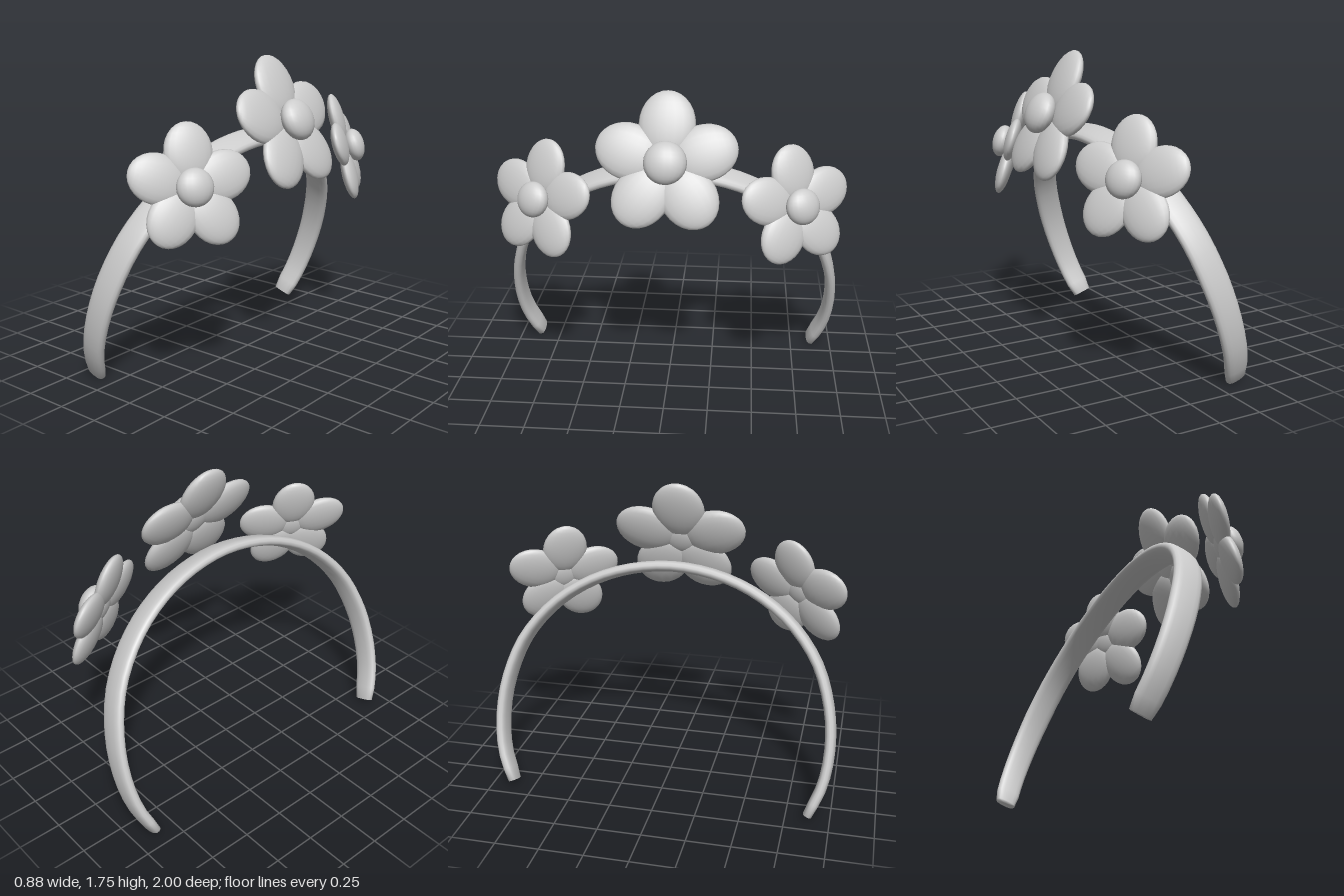
import * as THREE from 'three';

const grey = new THREE.MeshStandardMaterial({ color: 0xcccccc });
grey.name = 'light grey';

// Flat, rounded strip swept along a leaning arch
function bandGeometry() {
  const half = [[0.875, 0.03], [0.945, 0.2], [0.97, 0.4], [0.945, 0.62], [0.85, 0.86], [0.65, 1.08], [0.36, 1.235]];
  const profile = [...half, [0, 1.295], ...half.map(([z, y]) => [-z, y]).reverse()];
  const curve = new THREE.CatmullRomCurve3(
    profile.map(([z, y]) => new THREE.Vector3(-0.385 + 0.35 * (y - 0.03), y, z)));
  const wide = new THREE.Vector3(0.944, -0.33, 0);
  const sides = 16, steps = 48, pos = [], index = [];
  const soft = (v) => Math.sign(v) * Math.abs(v) ** 0.75;
  for (let i = 0; i <= steps; i++) {
    const t = i / steps;
    const p = curve.getPointAt(t), thin = curve.getTangentAt(t).cross(wide).normalize();
    const end = Math.min(t, 1 - t);
    const trim = end === 0 ? 0.86 : 1;
    const w = (0.07 + 0.012 * Math.min(1, end * 6)) * trim, h = 0.031 * trim;
    for (let j = 0; j < sides; j++) {
      const a = (j / sides) * Math.PI * 2;
      const q = p.clone().addScaledVector(wide, w * soft(Math.cos(a))).addScaledVector(thin, h * soft(Math.sin(a)));
      pos.push(q.x, q.y, q.z);
    }
  }
  for (let i = 0; i < steps; i++) {
    for (let j = 0; j < sides; j++) {
      const k = (j + 1) % sides;
      const a = i * sides + j, b = i * sides + k, c = a + sides, d = b + sides;
      index.push(a, b, c, b, d, c);
    }
  }
  // End caps
  for (const last of [false, true]) {
    const p = curve.getPointAt(last ? 1 : 0), centre = pos.length / 3, base = last ? steps * sides : 0;
    pos.push(p.x, p.y, p.z);
    for (let j = 0; j < sides; j++) {
      const a = base + j, b = base + ((j + 1) % sides);
      index.push(centre, ...(last ? [a, b] : [b, a]));
    }
  }
  const g = new THREE.BufferGeometry();
  g.setAttribute('position', new THREE.Float32BufferAttribute(pos, 3));
  g.setIndex(index);
  g.computeVertexNormals();
  return g;
}

const ball = new THREE.SphereGeometry(1, 20, 14);

function ellipsoid(name, sx, sy, sz) {
  const m = new THREE.Mesh(ball, grey);
  m.name = name;
  m.scale.set(sx, sy, sz);
  return m;
}

// Five-petal flower, built facing local +z with one petal up
function flower(name, centre, up, normal, scale) {
  const g = new THREE.Group();
  g.name = name;
  for (let i = 0; i < 5; i++) {
    const a = (i / 5) * Math.PI * 2;
    const petal = ellipsoid('petal', 0.155, 0.185, 0.052);
    petal.position.set(-Math.sin(a) * 0.215, Math.cos(a) * 0.215, 0);
    petal.rotation.z = a;
    g.add(petal);
  }
  const button = ellipsoid('flowerCentre', 0.117, 0.117, 0.07);
  button.position.z = 0.075;
  const hub = ellipsoid('flowerHub', 0.1, 0.1, 0.035);
  g.add(button, hub);

  const n = new THREE.Vector3(...normal).normalize();
  const side = new THREE.Vector3(...up).cross(n).normalize();
  const u = n.clone().cross(side);
  g.quaternion.setFromRotationMatrix(new THREE.Matrix4().makeBasis(side, u, n));
  g.position.set(...centre);
  g.scale.setScalar(scale);
  return g;
}

export function createModel() {
  const model = new THREE.Group();
  model.name = 'flowerHeadband';

  const band = new THREE.Mesh(bandGeometry(), grey);
  band.name = 'band';
  model.add(band);

  model.add(flower('middleFlower', [0.28, 1.393, 0], [-0.4, 0.917, 0], [0.917, 0.4, 0], 1));
  for (const s of [1, -1]) {
    model.add(flower(s > 0 ? 'frontFlower' : 'backFlower',
      [0.2, 1.145, 0.714 * s], [-0.23, 0.96, -0.16 * s], [0.845, 0.279, 0.457 * s], 0.855));
  }
  return model;
}
